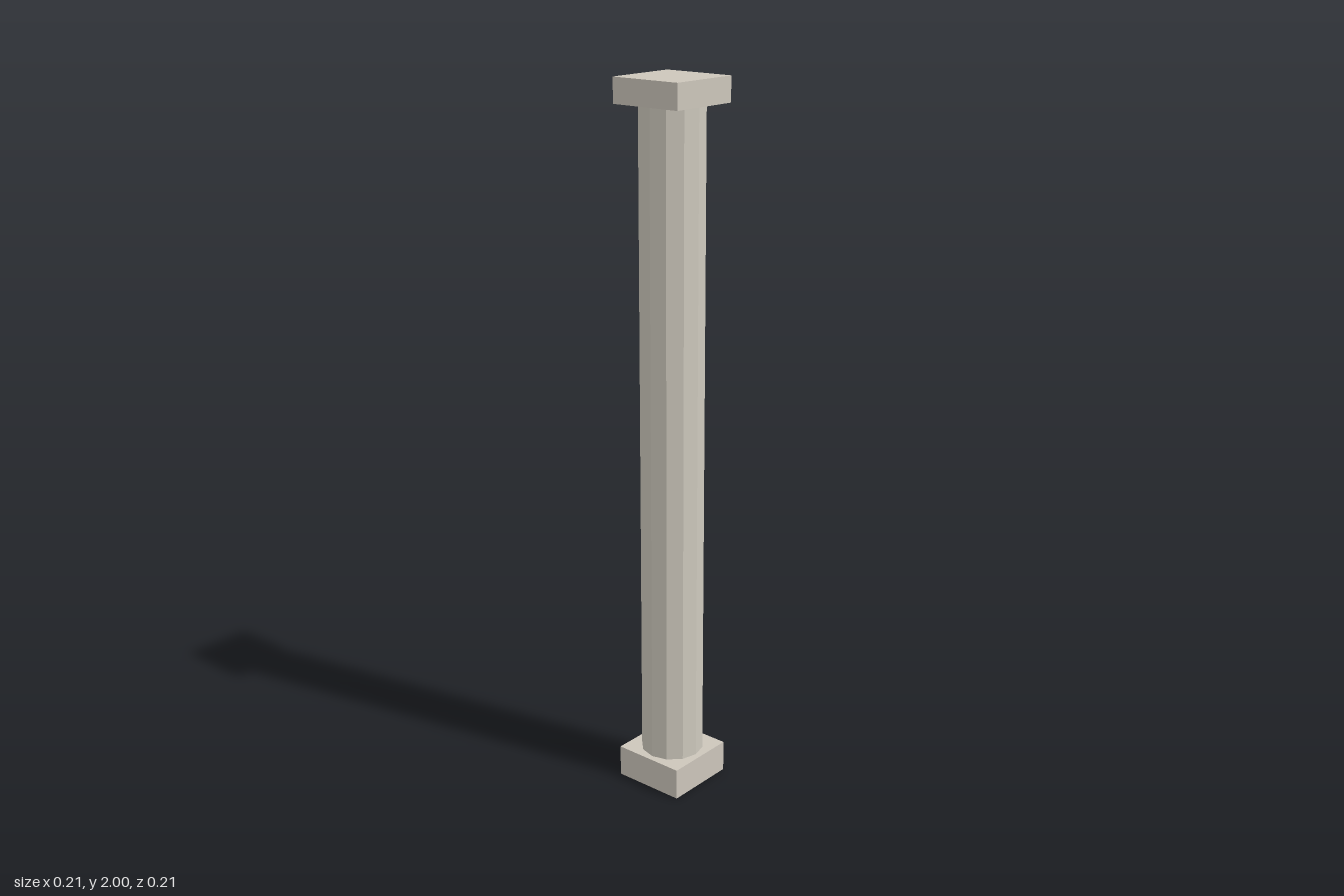
import * as THREE from 'three';

export function createModel() {
  const model = new THREE.Group();
  model.name = 'column';

  const blockStone = new THREE.MeshStandardMaterial({ color: 0xcdc6bb });
  blockStone.name = 'block stone';
  const shaftStone = new THREE.MeshStandardMaterial({ color: 0xcec9bd, flatShading: true });
  shaftStone.name = 'shaft stone';

  const WIDTH = 0.213, BASE_TOP = 0.09, CAP_BOTTOM = 1.932, HEIGHT = 2;

  // Adds a part spanning bottom to top
  function addPart(name, geometry, material, bottom, top) {
    const mesh = new THREE.Mesh(geometry, material);
    mesh.name = name;
    mesh.position.y = (bottom + top) / 2;
    model.add(mesh);
  }

  // Square blocks at the foot and head
  addPart('base', new THREE.BoxGeometry(WIDTH, BASE_TOP, WIDTH), blockStone, 0, BASE_TOP);
  addPart('capital', new THREE.BoxGeometry(WIDTH, HEIGHT - CAP_BOTTOM, WIDTH), blockStone, CAP_BOTTOM, HEIGHT);

  // Twelve-sided shaft
  addPart('shaft', new THREE.CylinderGeometry(0.089, 0.089, CAP_BOTTOM - BASE_TOP, 12, 1, true),
    shaftStone, BASE_TOP, CAP_BOTTOM);

  return model;
}
